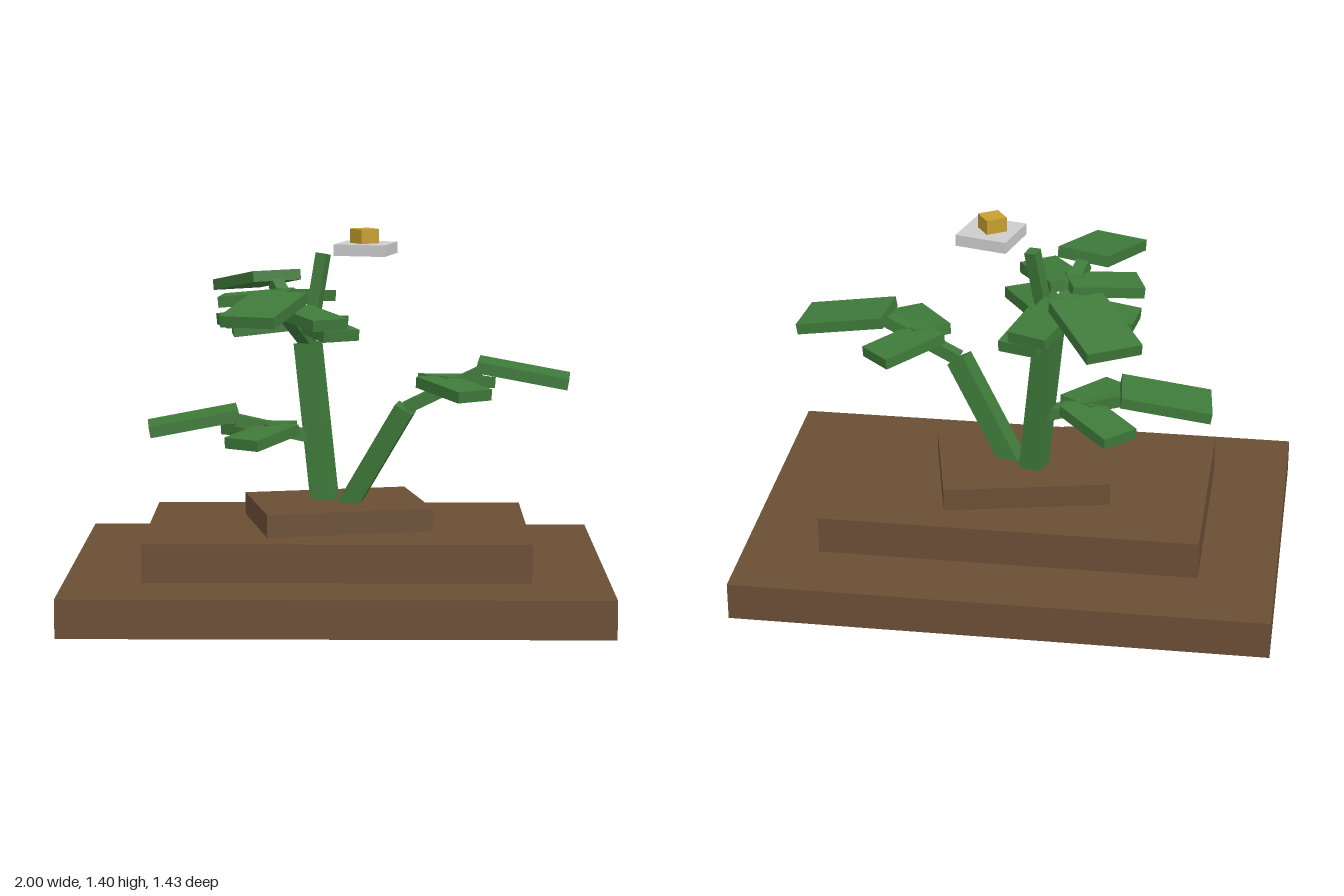
import * as THREE from 'three';

const material = (name, color) => {
  const m = new THREE.MeshStandardMaterial({ color });
  m.name = name;
  return m;
};

export function createModel() {
  const root = new THREE.Group();
  root.name = 'pottedFlower';
  const soil = material('soil brown', 0x6b4e35);
  const green = material('leaf green', 0x3f7a3a);
  const petal = material('petal grey', 0xcccccc);
  const gold = material('gold', 0xc79f30);

  // Level block turned about the vertical axis
  function block(name, mat, size, pos, turn = 0) {
    const mesh = new THREE.Mesh(new THREE.BoxGeometry(...size), mat);
    mesh.name = name;
    mesh.position.set(...pos);
    mesh.rotation.y = turn;
    root.add(mesh);
  }

  // Bar running from point a to point b, rolled about its own length
  function bar(name, a, b, width, thick, roll = 0) {
    const from = new THREE.Vector3(...a), to = new THREE.Vector3(...b);
    const mesh = new THREE.Mesh(new THREE.BoxGeometry(width, thick, from.distanceTo(to)), green);
    mesh.name = name;
    mesh.position.copy(from).lerp(to, 0.5);
    mesh.lookAt(to);
    mesh.rotateZ(roll);
    root.add(mesh);
  }

  // Stepped soil mound
  block('soilBase', soil, [2, 0.143, 1.428], [0, 0.0715, 0]);
  block('soilStep', soil, [1.428, 0.143, 0.857], [0, 0.2145, 0]);
  block('soilTop', soil, [0.63, 0.086, 0.486], [0, 0.329, 0], 0.21);

  // Stalks
  const stalkTop = [-0.115, 0.965, -0.11];
  const sideTop = [0.255, 0.74, 0.08];
  bar('mainStalk', [-0.047, 0.33, -0.05], stalkTop, 0.086, 0.086, 0.4);
  bar('sideStalk', [0.024, 0.33, 0.003], sideTop, 0.08, 0.075, 0.12);
  bar('flowerStem', [-0.115, 0.95, -0.108], [-0.057, 1.3, -0.147], 0.045, 0.045, 0.6);

  // Twig with one large end leaf and two side leaves.
  // p is the inner end of the large leaf, (dx, dz) its heading, shift slides the side leaves.
  function spray(start, p, dx, dz, shift) {
    const len = Math.hypot(dx, dz);
    dx /= len;
    dz /= len;
    const at = (along, across, y) =>
      [p[0] + dx * along - dz * across, p[1] + y, p[2] + dz * along + dx * across];
    bar('twig', start, at(0.01, 0, -0.03), 0.05, 0.045);
    bar('largeLeaf', at(0, 0, 0), at(0.338, 0, -0.06), 0.21, 0.042);
    for (const side of [-1, 1])
      bar('sideLeaf', at(shift - 0.17, 0, -0.065), at(shift, side * 0.215, -0.092), 0.15, 0.042);
  }
  spray(sideTop, [0.525, 0.908, 0.095], 0.335, 0.03, 0);
  spray([-0.075, 0.6, -0.075], [-0.38, 0.705, -0.045], -0.34, 0.033, 0);
  spray(stalkTop, [-0.21, 1.163, 0.14], -0.115, 0.325, 0.05);
  spray(stalkTop, [-0.24, 1.198, -0.345], -0.17, -0.287, 0.055);

  // Three leaves around the top of the main stalk
  for (const [x, z] of [[-0.4, -0.075], [0.015, 0.14], [-0.035, -0.39]])
    bar('crownLeaf', [-0.12, 1.045, -0.105], [x, 1.017, z], 0.15, 0.042);

  // Flower
  block('petals', petal, [0.197, 0.043, 0.197], [0.105, 1.325, -0.075], -0.257);
  block('flowerHeart', gold, [0.08, 0.055, 0.08], [0.1, 1.373, -0.075], 0.57);

  return root;
}
